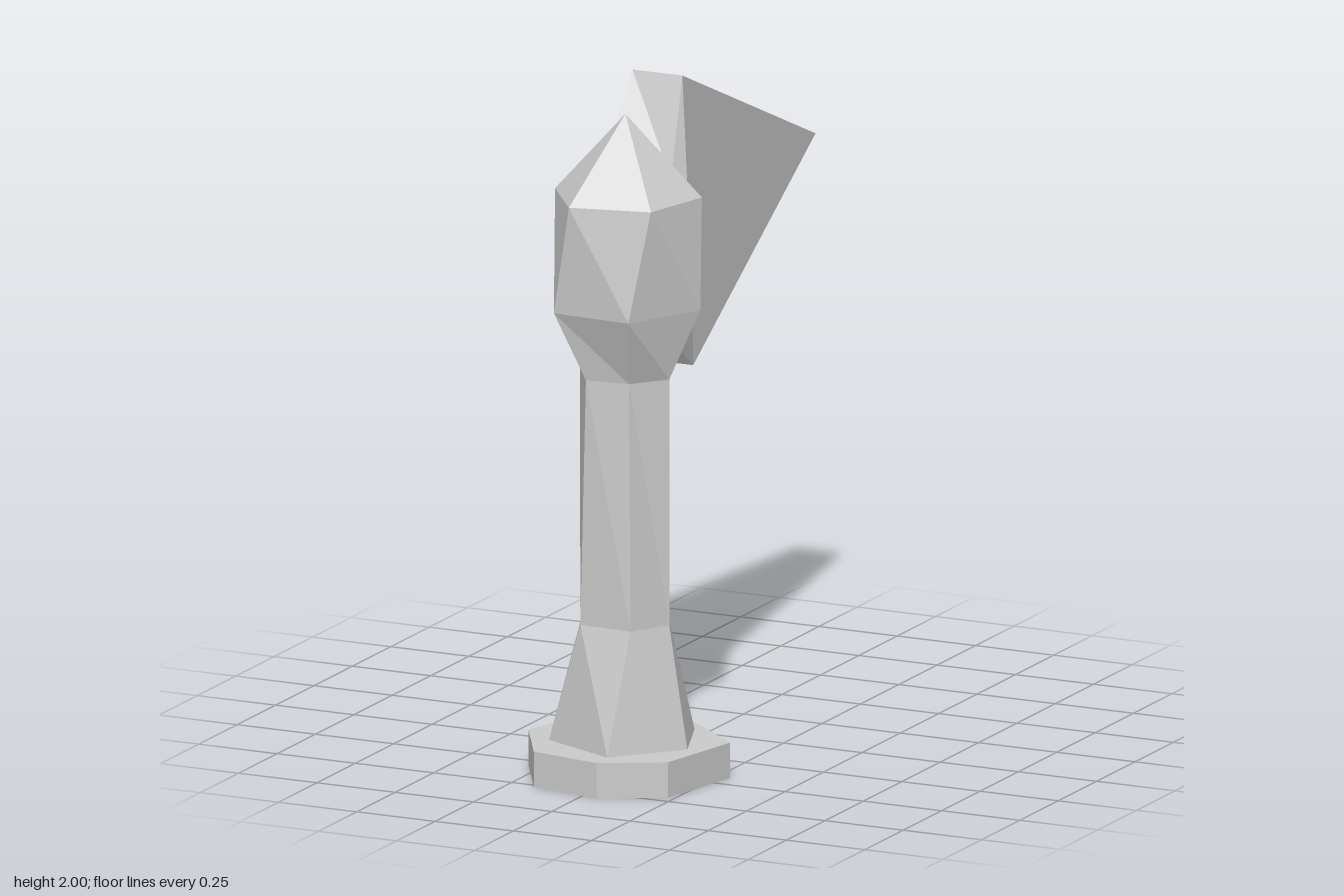
import * as THREE from 'three';

const material = new THREE.MeshStandardMaterial({ color: 0xcccccc, flatShading: true });

// Skins a list of equal-length rings; each end closes to a given tip point.
function loft(name, rings, startTip, endTip) {
  const n = rings[0].length;
  const pos = [];
  const tri = (...points) => points.forEach((p) => pos.push(...p));
  for (let i = 0; i < n; i++) {
    const j = (i + 1) % n;
    for (let r = 0; r + 1 < rings.length; r++) {
      const a = rings[r], b = rings[r + 1];
      tri(a[i], a[j], b[i]);
      tri(a[j], b[j], b[i]);
    }
    const first = rings[0], last = rings[rings.length - 1];
    if (startTip) tri(startTip, first[j], first[i]);
    if (endTip) tri(endTip, last[i], last[j]);
  }
  const geometry = new THREE.BufferGeometry();
  geometry.setAttribute('position', new THREE.Float32BufferAttribute(pos, 3));
  geometry.computeVertexNormals();
  const mesh = new THREE.Mesh(geometry, material);
  mesh.name = name;
  return mesh;
}

// Lifts [x, z] outline points to a height.
const level = (y, outline) => outline.map(([x, z]) => [x, y, z]);

export function createModel() {
  const group = new THREE.Group();
  group.name = 'axe';

  // Uneven seven-sided pommel
  const foot = [[-0.17, 0.77], [0.05, 0.81], [0.23, 0.71], [0.29, 0.43],
    [0.04, 0.215], [-0.23, 0.33], [-0.295, 0.55]];
  group.add(loft('pommel', [level(0, foot), level(0.105, foot)],
    [0, 0, 0.52], [0, 0.105, 0.52]));

  // Handle: flared bottom and straight six-sided grip
  const gripTop = level(1.19, [[-0.06, 0.655], [0.07, 0.64], [0.15, 0.54],
    [0.065, 0.39], [-0.08, 0.395], [-0.145, 0.52]]);
  group.add(loft('handle', [
    level(0.105, [[-0.19, 0.63], [0.05, 0.74], [0.215, 0.555],
      [0.13, 0.335], [-0.07, 0.32], [-0.19, 0.43]]),
    level(0.46, [[-0.085, 0.64], [0.08, 0.65], [0.145, 0.53],
      [0.07, 0.39], [-0.07, 0.39], [-0.145, 0.5]]),
    gripTop,
  ]));

  // Swollen head with a pointed top
  const headLow = level(1.39, [[-0.14, 0.7], [0.105, 0.715], [0.22, 0.48],
    [0.11, 0.31], [-0.1, 0.335], [-0.215, 0.49]]);
  const headHigh = level(1.715, [[-0.08, 0.725], [0.155, 0.67], [0.21, 0.45],
    [0.04, 0.305], [-0.16, 0.365], [-0.215, 0.54]]);
  group.add(loft('head', [gripTop, headLow, headHigh], null, [0, 1.955, 0.52]));

  // Neck grows out of the rear head facet into the blade
  const socket = [headHigh[3], headLow[3], headLow[4], headHigh[4]];
  const shoulder = [[0.03, 2, 0.21], [0.045, 1.135, 0.17],
    [-0.1, 1.135, 0.17], [-0.13, 2, 0.21]];
  group.add(loft('bladeNeck', [socket, shoulder]));

  // Wedge blade, narrowing in height to a blunt rear edge
  const tipLeft = [-0.045, 1.585, -0.81], tipRight = [-0.19, 1.585, -0.81];
  group.add(loft('blade', [shoulder, [tipLeft, tipLeft, tipRight, tipRight]]));

  return group;
}
